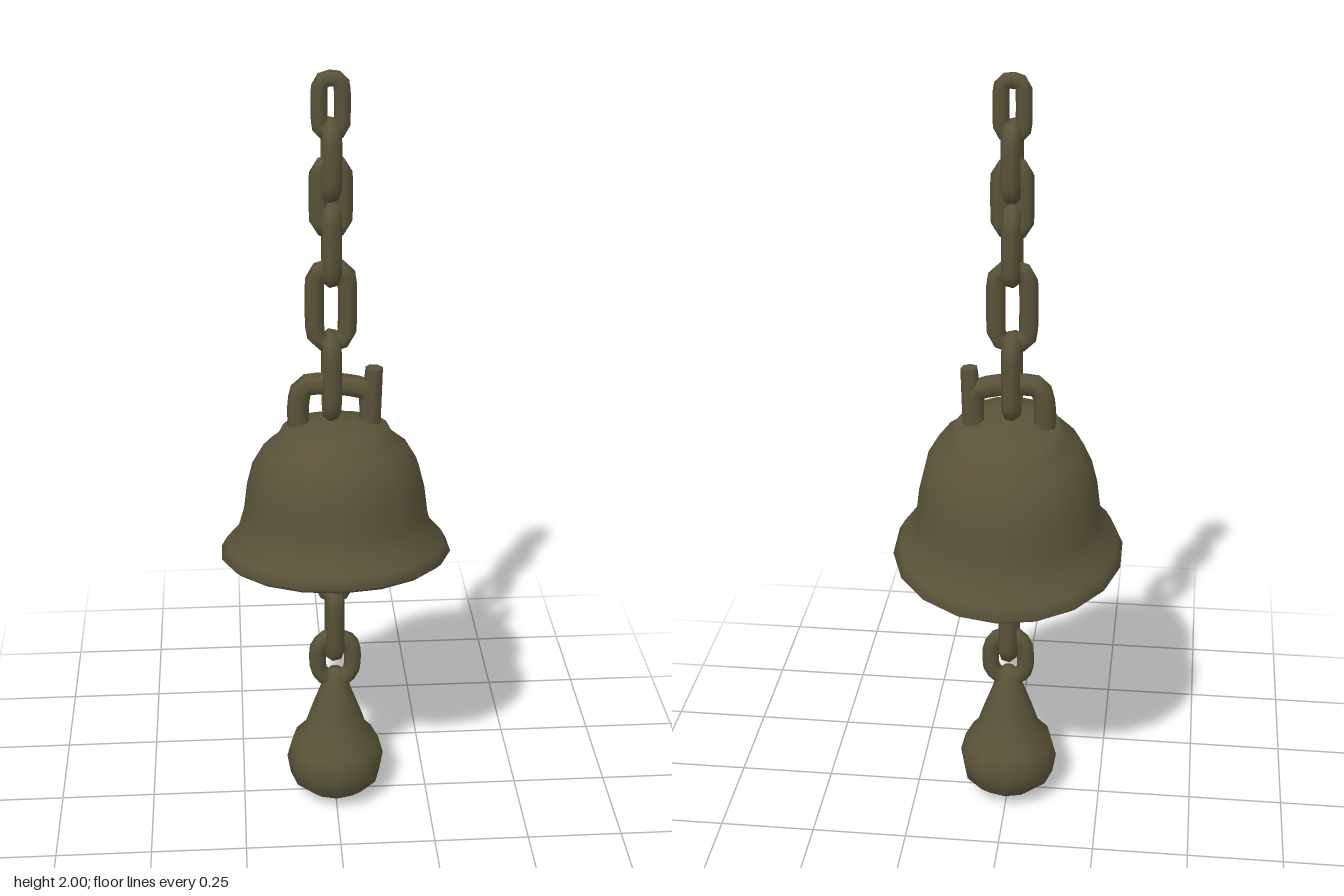
import * as THREE from 'three';

const bronze = new THREE.MeshStandardMaterial({ color: 0x5a5339 });
bronze.name = 'agedBronze';

const v2 = (list) => list.map(([r, y]) => new THREE.Vector2(r, y));

function part(name, geometry) {
  const mesh = new THREE.Mesh(geometry, bronze);
  mesh.name = name;
  return mesh;
}

// Long chain link between two heights; turned links lie in the yz plane.
function link(name, y0, y1, halfWidth, turned, x = 0, tilt = 0, r = 0.023) {
  const w = halfWidth - r;
  const h = (y1 - y0) / 2 - r;
  const s = h - w * 0.65;
  const pts = [
    [w, -s], [w, s], [w * 0.5, h], [-w * 0.5, h],
    [-w, s], [-w, -s], [-w * 0.5, -h], [w * 0.5, -h],
  ].map(([a, b]) => new THREE.Vector3(a, b, 0));
  const curve = new THREE.CatmullRomCurve3(pts, true, 'catmullrom', 0.3);
  const mesh = part(name, new THREE.TubeGeometry(curve, 20, r, 7, true));
  mesh.rotation.set(0, turned ? Math.PI / 2 : 0, tilt);
  mesh.position.set(x, (y0 + y1) / 2, 0);
  return mesh;
}

export function createModel() {
  const model = new THREE.Group();
  model.name = 'hangingBell';

  // Bell: inner wall from the crown down, round the lip, then the outside up
  const bellGeometry = new THREE.LatheGeometry(v2([
    [0, 1.08], [0.11, 1.06], [0.17, 1.0], [0.2, 0.93], [0.21, 0.85],
    [0.23, 0.8], [0.268, 0.758], [0.282, 0.744], [0.297, 0.758],
    [0.282, 0.785], [0.25, 0.822], [0.236, 0.87], [0.227, 0.94],
    [0.212, 1.0], [0.182, 1.052], [0.145, 1.082], [0.132, 1.108],
    [0.06, 1.125], [0, 1.13],
  ]), 18);
  // The bell hangs askew: raised at the front
  bellGeometry.applyMatrix4(new THREE.Matrix4().set(
    1, 0, 0, 0,
    0.01, 1, 0.15, 0,
    0, 0, 1, 0,
    0, 0, 0, 1,
  ));
  model.add(part('bell', bellGeometry));

  // Crown: arched handle with one taller post
  const crown = new THREE.Group();
  crown.name = 'crown';
  const arch = new THREE.CatmullRomCurve3([
    [-0.088, 1.08], [-0.092, 1.16], [-0.078, 1.215], [-0.03, 1.222],
    [0.04, 1.215], [0.08, 1.2], [0.088, 1.16], [0.085, 1.08],
  ].map(([x, y]) => new THREE.Vector3(x, y, 0)));
  crown.add(part('crownArch', new THREE.TubeGeometry(arch, 20, 0.028, 7)));
  const post = part('crownPost', new THREE.CylinderGeometry(0.022, 0.03, 0.18, 7));
  post.position.set(0.091, 1.172, 0);
  post.rotation.z = -0.07;
  crown.add(post);
  model.add(crown);

  // Upper chain, from the top down
  const chain = new THREE.Group();
  chain.name = 'upperChain';
  [
    [1.835, 2.0, 0.046, false],
    [1.69, 1.89, 0.063, true],
    [1.6, 1.8, 0.052, false],
    [1.48, 1.69, 0.058, true],
    [1.31, 1.545, 0.063, false],
    [1.13, 1.36, 0.062, true],
  ].forEach(([y0, y1, w, turned], i) => {
    chain.add(link('chainLink' + (i + 1), y0, y1, w, turned, -0.01, 0, i ? 0.024 : 0.02));
  });
  model.add(chain);

  // Clapper hanger under the dome, and its chain
  const hanger = new THREE.Group();
  hanger.name = 'clapperChain';
  const stem = part('hangerStem', new THREE.CylinderGeometry(0.07, 0.028, 0.36, 8));
  stem.position.y = 0.9;
  hanger.add(stem);
  hanger.add(link('hangerLink1', 0.6, 0.76, 0.05, false, -0.003));
  hanger.add(link('hangerLink2', 0.425, 0.665, 0.067, true, -0.003, 0.06, 0.025));
  hanger.add(link('hangerLink3', 0.34, 0.51, 0.068, false));
  model.add(hanger);

  // Pear-shaped clapper
  model.add(part('clapper', new THREE.LatheGeometry(v2([
    [0, 0], [0.022, 0.004], [0.032, 0.018], [0.085, 0.026], [0.122, 0.06],
    [0.131, 0.115], [0.118, 0.165], [0.088, 0.2], [0.068, 0.26],
    [0.042, 0.33], [0.032, 0.365], [0.018, 0.39], [0, 0.393],
  ]), 12)));

  return model;
}
